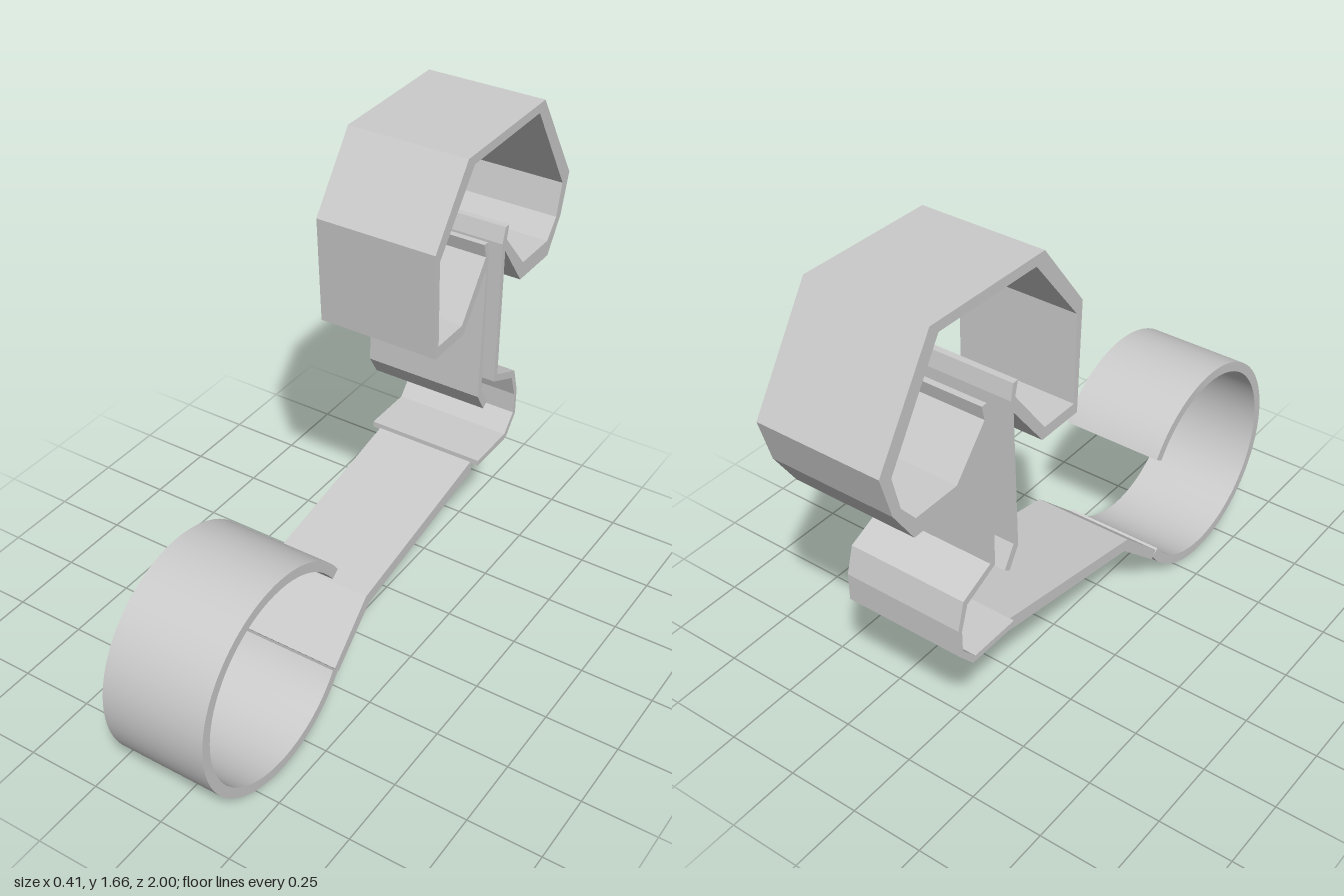
import * as THREE from 'three';
import { toCreasedNormals } from 'three/addons/utils/BufferGeometryUtils.js';

const material = new THREE.MeshStandardMaterial({ color: 0xcccccc });

// Extrudes a side profile drawn in (z, y) across x, centred on x = 0.
function strip(name, shape, width) {
  const extruded = new THREE.ExtrudeGeometry(shape, { depth: width, bevelEnabled: false, curveSegments: 72 });
  extruded.translate(0, 0, -width / 2);
  extruded.rotateY(-Math.PI / 2);
  const mesh = new THREE.Mesh(toCreasedNormals(extruded, 0.2), material);
  mesh.name = name;
  return mesh;
}

const outline = (points) => new THREE.Shape(points.map(([z, y]) => new THREE.Vector2(z, y)));

export function createModel() {
  const group = new THREE.Group();
  group.name = 'clipHolder';

  // Faceted clip loop with its two uprights and the lower hook, one continuous band
  const clip = outline([
    // outside of the loop, front to back
    [-0.335, 1.06], [-0.169, 1.06], [-0.147, 1.425], [-0.319, 1.66], [-0.785, 1.666],
    [-1, 1.334], [-0.961, 1.194], [-0.886, 1.077], [-0.699, 1.077], [-0.581, 1.237],
    // outside of the back upright and lower hook
    [-0.581, 0.777], [-0.704, 0.723], [-0.731, 0.632], [-0.731, 0.536], [-0.672, 0.466], [-0.479, 0.466],
    // inside of the hook, back up to the lip
    [-0.479, 0.487], [-0.661, 0.487], [-0.715, 0.546], [-0.715, 0.621], [-0.688, 0.702], [-0.56, 0.76],
    [-0.56, 1.27], [-0.576, 1.323], [-0.597, 1.323], [-0.587, 1.275],
    // inside of the loop, back to front
    [-0.71, 1.135], [-0.876, 1.135], [-0.929, 1.2], [-0.956, 1.312], [-0.753, 1.634],
    [-0.356, 1.628], [-0.174, 1.393], [-0.185, 1.098], [-0.324, 1.098], [-0.455, 1.275],
    // front lip, upright and its bent foot
    [-0.442, 1.323], [-0.463, 1.323], [-0.474, 1.27], [-0.474, 0.777], [-0.517, 0.707],
    [-0.495, 0.691], [-0.453, 0.76], [-0.463, 1.227],
  ]);
  group.add(strip('clip', clip, 0.412));

  // Bent arm joining the clip to the ring
  const arm = outline([
    [-0.485, 0.472], [0.163, 0.349], [0.34, 0.183], [0.319, 0.156], [0.147, 0.311], [-0.485, 0.426],
  ]);
  group.add(strip('arm', arm, 0.356));

  // Open ring
  const deg = Math.PI / 180;
  const ring = new THREE.Shape();
  ring.absarc(0.63, 0.371, 0.37, -146 * deg, 146.5 * deg, false);
  ring.absarc(0.63, 0.371, 0.336, 146.5 * deg, -146 * deg, true);
  ring.closePath();
  group.add(strip('openRing', ring, 0.356));

  return group;
}
